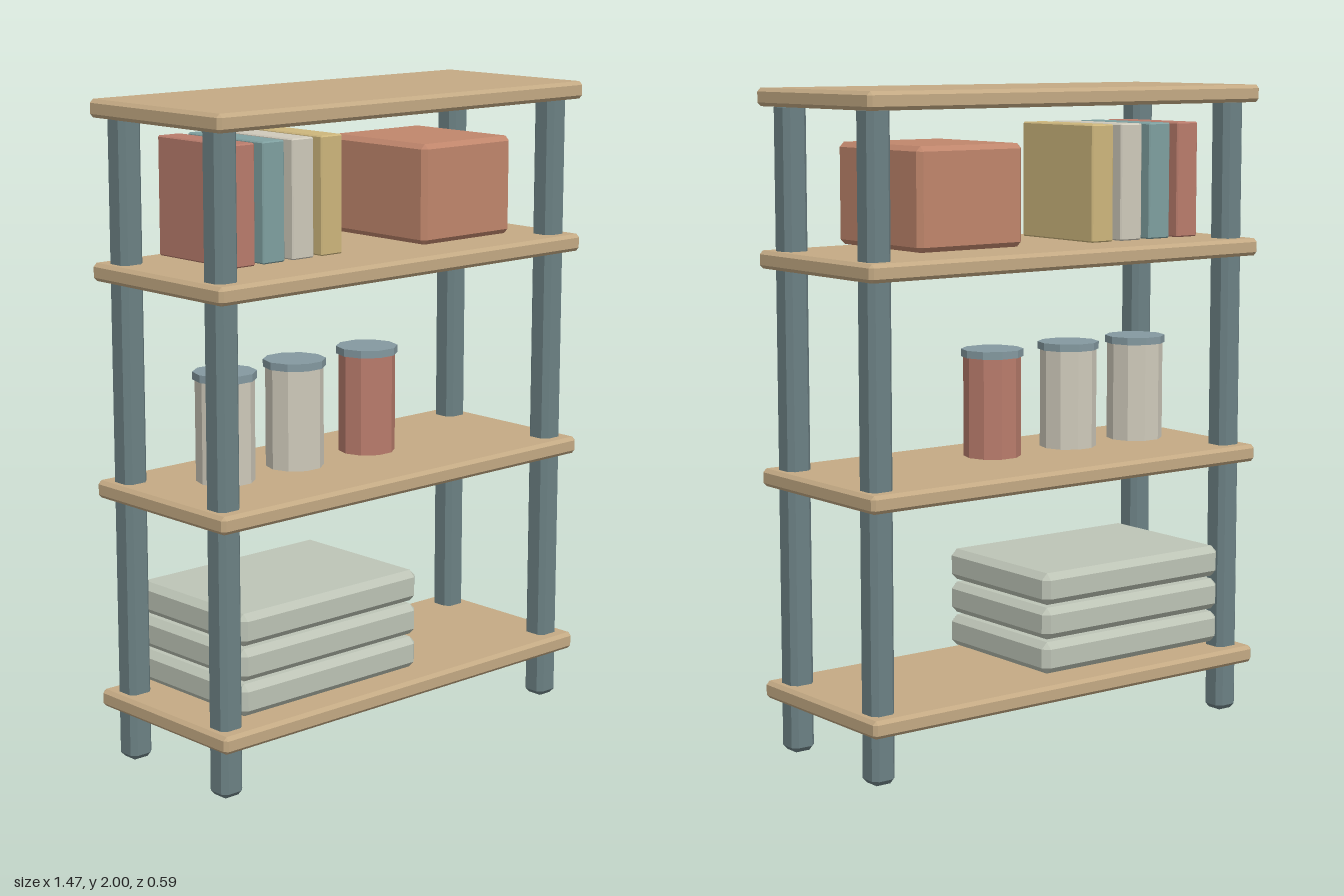
import * as THREE from 'three';
import { ConvexGeometry } from 'three/addons/geometries/ConvexGeometry.js';

const COLORS = {
  wood: 0xc4aa84, post: 0x6c8184, red: 0xb97c6c, teal: 0x7fa0a0, cream: 0xcfcabb,
  yellow: 0xcdb67c, box: 0xc0866c, lid: 0x8499a0, cloth: 0xbdc4b6,
};
const materials = {};
for (const key in COLORS) {
  materials[key] = new THREE.MeshStandardMaterial({ color: COLORS[key], flatShading: true });
}

// Box with every edge cut at 45 degrees: three points at each corner
function chamferBox(w, h, d, c) {
  const points = [];
  for (const sx of [-1, 1]) for (const sy of [-1, 1]) for (const sz of [-1, 1]) {
    const x = w / 2, y = h / 2, z = d / 2;
    points.push(
      new THREE.Vector3(sx * x, sy * (y - c), sz * (z - c)),
      new THREE.Vector3(sx * (x - c), sy * y, sz * (z - c)),
      new THREE.Vector3(sx * (x - c), sy * (y - c), sz * z),
    );
  }
  return new ConvexGeometry(points);
}

function addMesh(parent, name, geometry, color, x, y, z) {
  const mesh = new THREE.Mesh(geometry, materials[color]);
  mesh.name = name;
  mesh.position.set(x, y, z);
  parent.add(mesh);
  return mesh;
}

function addGroup(parent, name) {
  const group = new THREE.Group();
  group.name = name;
  parent.add(group);
  return group;
}

export function createModel() {
  const model = new THREE.Group();
  model.name = 'shelvingUnit';

  // Four shelves
  const shelves = addGroup(model, 'shelves');
  const shelfGeo = chamferBox(1.474, 0.054, 0.592, 0.011);
  for (const y of [0.183, 0.839, 1.495, 1.973]) addMesh(shelves, 'shelf', shelfGeo, 'wood', 0, y, 0);

  // Corner posts
  const posts = addGroup(model, 'posts');
  const postGeo = chamferBox(0.08, 1.96, 0.08, 0.016);
  for (const x of [-0.67, 0.67]) for (const z of [-0.215, 0.215]) {
    addMesh(posts, 'post', postGeo, 'post', x, 0.98, z);
  }

  // Upright books on the upper shelf
  const books = addGroup(model, 'books');
  const bookGeo = chamferBox(0.083, 0.354, 0.34, 0.004);
  ['red', 'teal', 'cream', 'yellow'].forEach((color, i) => {
    addMesh(books, 'book', bookGeo, color, -0.506 + i * 0.113, 1.71, -0.045);
  });

  // Storage box beside the books
  addMesh(model, 'storageBox', chamferBox(0.378, 0.304, 0.42, 0.015), 'box', 0.327, 1.688, -0.01);

  // Ten-sided canisters with lids, a corner pointing to each side
  const bodyGeo = new THREE.CylinderGeometry(0.0885, 0.0885, 0.308, 10).rotateY(Math.PI / 2);
  const lidGeo = new THREE.CylinderGeometry(0.0955, 0.0955, 0.023, 10).rotateY(Math.PI / 2);
  ['cream', 'cream', 'red'].forEach((color, i) => {
    const canister = addGroup(model, 'canister');
    canister.position.set(-0.481 + i * 0.285, 0.878, 0);
    if (i === 1) canister.position.x = -0.208;
    if (i === 2) canister.position.x = 0.09;
    addMesh(canister, 'canisterBody', bodyGeo, color, 0, 0.154, 0);
    addMesh(canister, 'canisterLid', lidGeo, 'lid', 0, 0.3185, 0);
  });

  // Stack of folded blankets on the bottom shelf
  const blankets = addGroup(model, 'blankets');
  const blanketGeo = chamferBox(0.709, 0.098, 0.5, 0.02);
  for (let i = 0; i < 3; i++) {
    addMesh(blankets, 'blanket', blanketGeo, 'cloth', -0.277, 0.28 + i * 0.107, 0);
  }

  return model;
}
